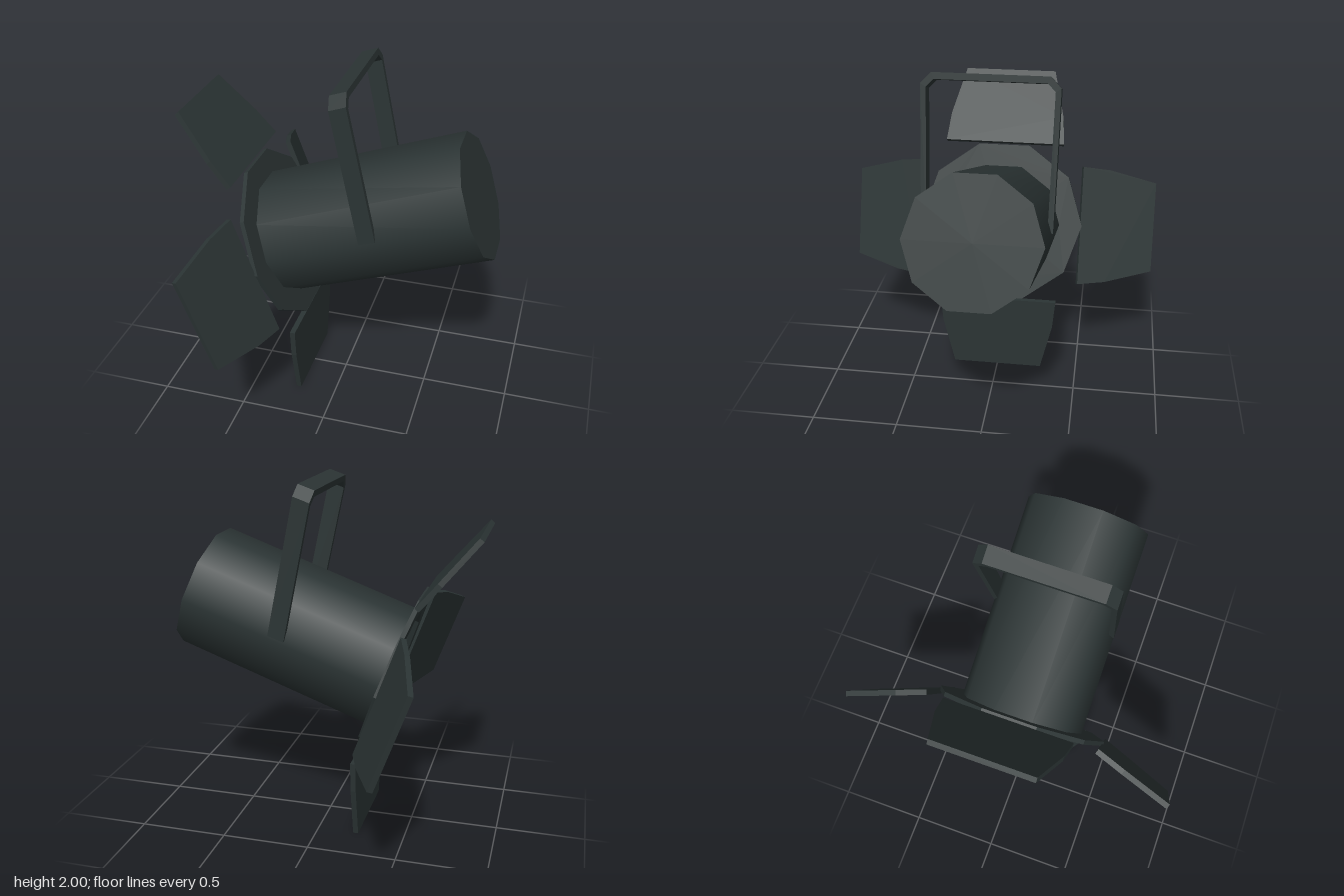
import * as THREE from 'three';

const housingPaint = new THREE.MeshStandardMaterial({ name: 'charcoal paint', color: 0x2b3434 });
const lensAmber = new THREE.MeshStandardMaterial({ name: 'amber lens', color: 0xd9b800 });
// The open tube is seen from inside as well
housingPaint.side = THREE.DoubleSide;

const SIDES = 10;
const BODY_R = 0.358;
const BODY_L = 1.198;
const TILT = THREE.MathUtils.degToRad(20);

function add(parent, name, geometry, material) {
  const mesh = new THREE.Mesh(geometry, material);
  mesh.name = name;
  parent.add(mesh);
  return mesh;
}

// Regular polygon with a corner on the x axis
function polygon(radius) {
  const corners = [];
  for (let i = 0; i < SIDES; i++) {
    const a = (i / SIDES) * Math.PI * 2;
    corners.push(new THREE.Vector2(Math.cos(a) * radius, Math.sin(a) * radius));
  }
  return corners;
}

// Flat plate cut from a shape, centred on its thickness and facing along x
function plate(shape, thickness) {
  return new THREE.ExtrudeGeometry(shape, { depth: thickness, bevelEnabled: false })
    .translate(0, 0, -thickness / 2)
    .rotateY(Math.PI / 2);
}

function outline(list) {
  return new THREE.Shape(list.map(([x, y]) => new THREE.Vector2(x, y)));
}

export function createModel() {
  const model = new THREE.Group();
  model.name = 'stageLight';

  // Lamp head: local x runs from the front flange to the rear cap
  const head = new THREE.Group();
  head.name = 'lampHead';
  head.position.set(-0.374, 0.933, 0);
  head.rotation.z = TILT;
  model.add(head);

  const tube = new THREE.CylinderGeometry(BODY_R, BODY_R, BODY_L, SIDES, 1, true)
    .rotateZ(-Math.PI / 2)
    .translate(BODY_L / 2, 0, 0);
  add(head, 'housing', tube, housingPaint);

  const cap = new THREE.CircleGeometry(BODY_R, SIDES).rotateY(Math.PI / 2).translate(BODY_L, 0, 0);
  add(head, 'rearCap', cap, housingPaint);

  // Lens set slightly into the tube
  const lens = new THREE.CircleGeometry(BODY_R, SIDES).rotateY(-Math.PI / 2).translate(0.03, 0, 0);
  add(head, 'lens', lens, lensAmber);

  // Front flange ring
  const ring = new THREE.Shape(polygon(0.495));
  ring.holes.push(new THREE.Path(polygon(BODY_R - 0.003)));
  add(head, 'frontFlange', plate(ring, 0.025), housingPaint);

  // Four barn doors, folded forward around the flange
  const doorShape = outline([
    [-0.36, 0], [0.36, 0], [0.345, 0.175], [0.275, 0.475], [-0.275, 0.475], [-0.345, 0.175],
  ]);
  const doorGeometry = plate(doorShape, 0.03).rotateZ(TILT).translate(-0.015, 0.482, 0);
  ['topDoor', 'leftDoor', 'bottomDoor', 'rightDoor'].forEach((name, i) => {
    add(head, name, doorGeometry, housingPaint).rotation.x = (i * Math.PI) / 2;
  });

  // Hanging yoke: chamfered strap with slanted ends, pivoting on the housing
  const yokeShape = outline([
    [-0.361, 0], [-0.372, 0.775], [-0.315, 0.834], [0.315, 0.834], [0.372, 0.775], [0.361, 0],
    [0.331, 0], [0.342, 0.755], [0.3, 0.798], [-0.3, 0.798], [-0.342, 0.755], [-0.331, 0],
  ]);
  const slant = new THREE.Matrix4().makeShear(0.13, 0, 0, 0, 0, 0);
  const yoke = add(model, 'yoke', plate(yokeShape, 0.095).applyMatrix4(slant), housingPaint);
  yoke.position.set(0.213, 1.163, 0);
  yoke.rotation.z = 0.202;

  return model;
}
